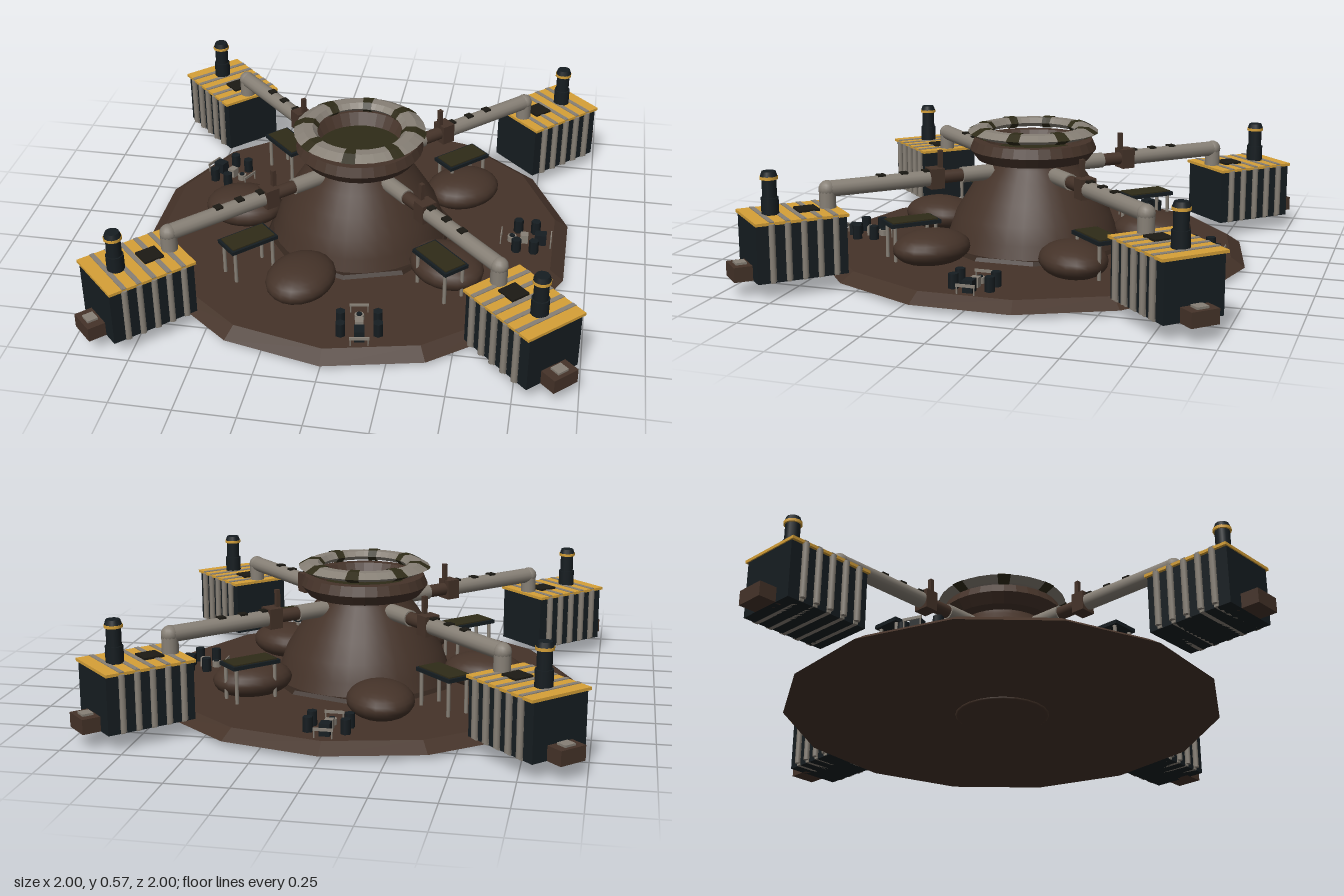
import * as THREE from 'three';

const mat = (color, extra = {}) => new THREE.MeshStandardMaterial({ color, ...extra });
const BROWN = mat(0x453329), FLAT_BROWN = mat(0x453329, { flatShading: true });
const SHELL = mat(0x453329, { side: THREE.DoubleSide });
const DARK_BROWN = mat(0x35271f, { flatShading: true });
const GREY = mat(0x878076), DARK = mat(0x161d21), GOLD = mat(0xd6a037);
const BLACK = mat(0x1c1a14), OLIVE = mat(0x2f2b18);
const FLAT_GREY = mat(0x878076, { flatShading: true, side: THREE.DoubleSide });
const FLAT_OLIVE = mat(0x2f2b18, { flatShading: true, side: THREE.DoubleSide });

function add(parent, name, geometry, material, x = 0, y = 0, z = 0) {
  const mesh = new THREE.Mesh(geometry, material);
  mesh.name = name;
  mesh.position.set(x, y, z);
  parent.add(mesh);
  return mesh;
}

const box = (parent, name, m, w, h, d, x, y, z) =>
  add(parent, name, new THREE.BoxGeometry(w, h, d), m, x, y, z);

// Upright cylinder given by its bottom and top heights
const post = (parent, name, m, r, y0, y1, x, z, sides = 12, rTop = r) =>
  add(parent, name, new THREE.CylinderGeometry(rTop, r, y1 - y0, sides), m, x, (y0 + y1) / 2, z);

// Cylinder lying along local z
function pipe(parent, name, m, r, z0, z1, y) {
  const mesh = add(parent, name, new THREE.CylinderGeometry(r, r, z1 - z0, 14), m, 0, y, (z0 + z1) / 2);
  mesh.rotation.x = Math.PI / 2;
  return mesh;
}

// Group whose local +z points outward at the given angle
function spoke(parent, name, angle) {
  const g = new THREE.Group();
  g.name = name;
  g.rotation.y = angle;
  parent.add(g);
  return g;
}

const lathe = (pts, segments, start = 0, length = Math.PI * 2) =>
  new THREE.LatheGeometry(pts.map(([x, y]) => new THREE.Vector2(x, y)), segments, start, length);

function buildGround(root) {
  add(root, 'basePlate', new THREE.CylinderGeometry(0.87, 0.93, 0.04, 14), FLAT_BROWN, 0, 0.04, 0);
  // Shallow bulge under the plate
  const bulge = add(root, 'undersideBulge', new THREE.SphereGeometry(0.2, 24, 12), BROWN, 0, 0.02, 0);
  bulge.scale.y = 0.1;
  post(root, 'moundSkirt', DARK_BROWN, 0.42, 0.05, 0.075, 0, 0, 10, 0.4);
  // Boulders around the mound
  for (let i = 0; i < 5; i++) {
    const g = spoke(root, 'boulderSpoke', -Math.PI / 2 + i * Math.PI * 0.4);
    const b = add(g, 'boulder', new THREE.SphereGeometry(1, 20, 14), BROWN, 0, 0.115, 0.52);
    b.scale.set(0.138, 0.075, 0.17);
  }
}

function buildMound(root) {
  const slope = [[0.385, 0.06], [0.36, 0.13], [0.335, 0.2], [0.285, 0.28], [0.235, 0.36],
    [0.195, 0.41], [0.185, 0.44]];
  add(root, 'mound', lathe(slope, 32), SHELL);
  // Flared lip with a sunken floor
  const lip = [[0.185, 0.43], [0.24, 0.432], [0.272, 0.475], [0.255, 0.515], [0.215, 0.515], [0.18, 0.46]];
  add(root, 'craterLip', lathe(lip, 32), mat(0x453329, { flatShading: true, side: THREE.DoubleSide }));
  post(root, 'craterFloor', OLIVE, 0.19, 0.45, 0.465, 0, 0, 32);
  // Floating ring with eight dark clamps
  const ring = [[0.18, 0.55], [0.2, 0.532], [0.24, 0.532], [0.28, 0.55], [0.24, 0.57],
    [0.2, 0.57], [0.18, 0.55]];
  add(root, 'collarRing', lathe(ring, 32), FLAT_GREY);
  const clamp = ring.map(([r, y]) => [0.235 + (r - 0.235) * 1.08, 0.551 + (y - 0.551) * 1.2]);
  for (let i = 0; i < 8; i++) {
    add(root, 'ringClamp', lathe(clamp, 2, i * Math.PI / 4 - 0.1, 0.2), FLAT_OLIVE);
  }
}

function buildPod(g) {
  const c = 1.08;
  box(g, 'podBody', DARK, 0.26, 0.24, 0.37, 0, 0.185, c);
  box(g, 'podRoof', GOLD, 0.285, 0.012, 0.38, 0, 0.306, c);
  for (let i = 0; i < 5; i++) {
    const z = 0.945 + i * 0.065;
    // Band around the pod with a round rib on each side
    box(g, 'podBand', GREY, 0.272, 0.25, 0.018, 0, 0.19, z);
    box(g, 'roofStrip', GREY, 0.286, 0.004, 0.02, 0, 0.3125, z);
    for (const s of [-1, 1]) post(g, 'sideRib', GREY, 0.013, 0.075, 0.305, s * 0.14, z, 8);
  }
  box(g, 'roofHatch', BLACK, 0.085, 0.012, 0.085, 0, 0.315, 1.02);
  // Chimney
  post(g, 'chimneyBase', DARK, 0.036, 0.31, 0.38, 0, 1.168);
  post(g, 'chimney', DARK, 0.03, 0.38, 0.455, 0, 1.168);
  post(g, 'chimneyBand', GOLD, 0.037, 0.453, 0.465, 0, 1.168);
  post(g, 'chimneyCap', DARK, 0.035, 0.465, 0.485, 0, 1.168, 12, 0.028);
  // Outer step
  box(g, 'outerStep', BROWN, 0.12, 0.06, 0.1, 0, 0.095, 1.29);
  box(g, 'stepPlate', GREY, 0.05, 0.012, 0.045, 0, 0.128, 1.3);
}

function buildArm(g) {
  pipe(g, 'innerPipe', GREY, 0.034, 0.2, 0.34, 0.388);
  pipe(g, 'pipeCoupling', BROWN, 0.028, 0.32, 0.47, 0.388);
  box(g, 'pipeBracket', BROWN, 0.07, 0.085, 0.06, 0, 0.388, 0.46);
  box(g, 'bracketPost', BROWN, 0.018, 0.085, 0.018, 0, 0.46, 0.435);
  pipe(g, 'outerPipe', GREY, 0.034, 0.47, 0.93, 0.388);
  add(g, 'elbow', new THREE.SphereGeometry(0.036, 14, 10), GREY, 0, 0.388, 0.93);
  post(g, 'downPipe', GREY, 0.034, 0.3, 0.388, 0, 0.93, 14);
  for (const z of [0.5, 0.6, 0.7]) box(g, 'pipeClip', BLACK, 0.032, 0.012, 0.032, 0, 0.42, z);
  // Low table below the pipe
  box(g, 'tableTop', DARK, 0.12, 0.016, 0.22, 0, 0.213, 0.57);
  box(g, 'tablePanel', OLIVE, 0.1, 0.006, 0.2, 0, 0.223, 0.57);
  for (const x of [-0.045, 0.045]) {
    for (const z of [0.48, 0.66]) post(g, 'tableLeg', GREY, 0.008, 0.055, 0.208, x, z, 8);
  }
}

function buildEquipment(g) {
  for (const x of [-0.075, 0.075]) {
    for (const z of [0.695, 0.77]) post(g, 'canister', DARK, 0.021, 0.058, 0.12, x, z, 6);
  }
  box(g, 'crate', DARK, 0.042, 0.05, 0.05, 0, 0.085, 0.795);
  box(g, 'meterBox', GREY, 0.034, 0.04, 0.034, 0, 0.08, 0.725);
  post(g, 'drum', GREY, 0.02, 0.058, 0.085, 0, 0.672, 8);
  post(g, 'drumLid', DARK, 0.012, 0.085, 0.09, 0, 0.672, 8);
  for (const z of [0.625, 0.84]) box(g, 'rail', GREY, 0.08, 0.012, 0.005, 0, 0.095, z);
  for (const x of [-0.035, 0.035]) {
    for (const z of [0.625, 0.84]) post(g, 'railPost', GREY, 0.003, 0.055, 0.095, x, z, 6);
  }
}

export function createModel() {
  const root = new THREE.Group();
  root.name = 'station';
  buildGround(root);
  buildMound(root);
  for (let i = 0; i < 4; i++) {
    const angle = Math.PI / 4 + i * Math.PI / 2;
    buildPod(spoke(root, 'pod', angle));
    buildArm(spoke(root, 'pipeArm', angle));
  }
  for (const [x, z] of [[0, -1], [1, 0], [0.17, 1], [-0.9, -0.43]]) {
    buildEquipment(spoke(root, 'equipmentCluster', Math.atan2(x, z)));
  }
  return root;
}
